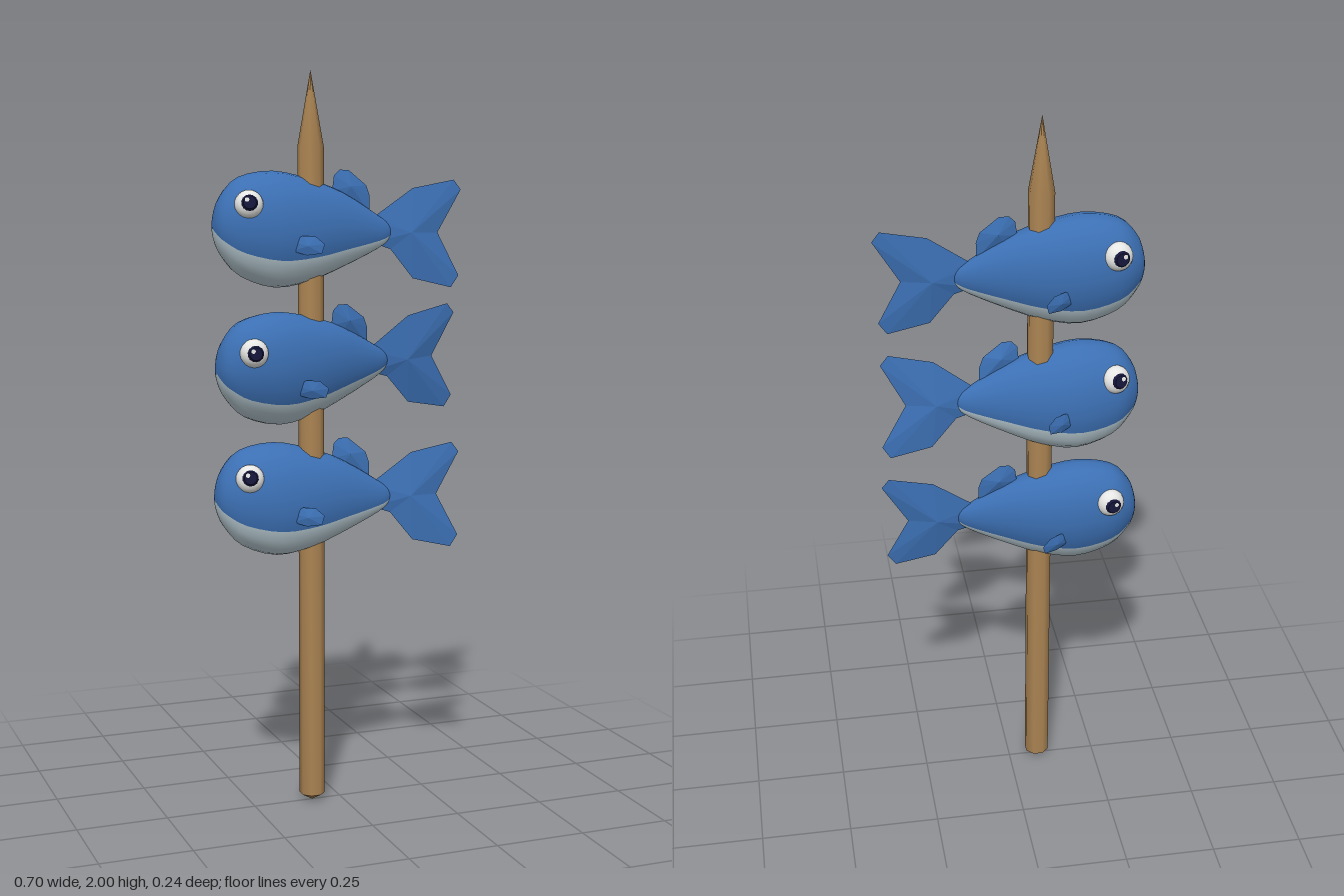
import * as THREE from 'three';
import { toCreasedNormals } from 'three/addons/utils/BufferGeometryUtils.js';

const mat = (name, color, extra = {}) => new THREE.MeshStandardMaterial({ name, color, ...extra });
const blue = mat('blue skin', 0x3c70b4);
const pale = mat('pale belly', 0xb9ccd4);
const white = mat('eye white', 0xe6e6e4);
const dark = mat('pupil navy', 0x15153a);
const wood = mat('wood', 0xaa8352);

function add(parent, name, geometry, material, x = 0, y = 0, z = 0) {
  const mesh = new THREE.Mesh(geometry, material);
  mesh.name = name;
  mesh.position.set(x, y, z);
  parent.add(mesh);
  return mesh;
}

// Body lofted from ellipses: x, top, bottom, half width
function bodyGeometry() {
  const stations = [
    [-0.272, 0.005, 0.005, 0], [-0.266, 0.045, -0.03, 0.03], [-0.248, 0.09, -0.07, 0.054],
    [-0.2, 0.137, -0.122, 0.08], [-0.105, 0.153, -0.154, 0.091], [-0.005, 0.132, -0.138, 0.08],
    [0.09, 0.095, -0.101, 0.056], [0.186, 0.035, -0.056, 0.024], [0.218, 0.01, -0.032, 0.01],
    [0.228, -0.008, -0.012, 0],
  ];
  const curve = (f) => new THREE.CatmullRomCurve3(stations.map(f), false, 'catmullrom');
  const outline = curve((s) => new THREE.Vector3(s[0], s[1], s[2]));
  const widths = curve((s) => new THREE.Vector3(s[3], 0, 0));
  const rings = 27, upper = 14, lower = 8, around = upper + lower;
  const edge = -33; // angle where the belly colour starts
  const positions = [], back = [], belly = [];
  for (let i = 0; i <= rings; i++) {
    const p = outline.getPoint(i / rings);
    const w = Math.max(0, widths.getPoint(i / rings).x);
    for (let j = 0; j < around; j++) {
      const deg = j < upper
        ? edge + (j / upper) * (180 - 2 * edge)
        : 180 - edge + ((j - upper) / lower) * (180 + 2 * edge);
      const a = THREE.MathUtils.degToRad(deg);
      positions.push(p.x, (p.y + p.z) / 2 + Math.sin(a) * (p.y - p.z) / 2, Math.cos(a) * w);
    }
  }
  for (let i = 0; i < rings; i++) {
    for (let j = 0; j < around; j++) {
      const k = (j + 1) % around;
      const a = i * around + j, b = a + around, c = i * around + k, d = c + around;
      (j < upper ? back : belly).push(a, b, c, b, d, c);
    }
  }
  const g = new THREE.BufferGeometry();
  g.setAttribute('position', new THREE.Float32BufferAttribute(positions, 3));
  g.setIndex([...back, ...belly]);
  g.addGroup(0, back.length, 0);
  g.addGroup(back.length, belly.length, 1);
  g.computeVertexNormals();
  return g;
}

// Thin fin: clockwise outline with a raised centre on both sides
function finGeometry(points, [cx, cy], thick) {
  const positions = [];
  points.forEach(([x, y], i) => {
    const [nx, ny] = points[(i + 1) % points.length];
    positions.push(cx, cy, thick, nx, ny, 0, x, y, 0);
    positions.push(cx, cy, -thick, x, y, 0, nx, ny, 0);
  });
  const g = new THREE.BufferGeometry();
  g.setAttribute('position', new THREE.Float32BufferAttribute(positions, 3));
  g.computeVertexNormals();
  return g;
}

const body = bodyGeometry();
const tail = finGeometry([
  [0.17, 0.02], [0.186, 0.035], [0.29, 0.105], [0.41, 0.127], [0.43, 0.1], [0.36, -0.015],
  [0.42, -0.133], [0.397, -0.165], [0.286, -0.138], [0.223, -0.058], [0.17, -0.04],
], [0.28, -0.015], 0.015);
const dorsal = finGeometry([
  [0.06, 0.1], [0.066, 0.14], [0.082, 0.155], [0.108, 0.154], [0.157, 0.113], [0.166, 0.085],
  [0.165, 0.04], [0.08, 0.07],
], [0.11, 0.11], 0.013);
const sideFin = finGeometry([
  [-0.01, 0.012], [0.02, 0.027], [0.055, 0.024], [0.078, 0.004], [0.07, -0.02], [0.03, -0.024],
  [-0.01, -0.012],
], [0.035, 0], 0.007);
const eyeball = new THREE.SphereGeometry(0.038, 16, 12).scale(1, 1, 0.8);
const pupil = new THREE.CylinderGeometry(0.017, 0.022, 0.008, 14).rotateX(Math.PI / 2);
const glint = new THREE.CircleGeometry(0.006, 10);

function makeFish(name) {
  const fish = new THREE.Group();
  fish.name = name;
  add(fish, 'body', body, [blue, pale]);
  add(fish, 'tailFin', tail, blue);
  add(fish, 'dorsalFin', dorsal, blue);
  for (const s of [1, -1]) {
    const side = s > 0 ? 'left' : 'right';
    add(fish, side + 'SideFin', sideFin, blue, -0.07, -0.047, s * 0.08).rotation.y = -0.5 * s;
    // Eye looks outward, slightly forward and up
    const eye = new THREE.Group();
    eye.name = side + 'Eye';
    eye.position.set(-0.19, 0.063, s * 0.068);
    eye.rotation.set(-0.15, s > 0 ? -0.2 : Math.PI + 0.2, 0, 'YXZ');
    add(eye, 'eyeball', eyeball, white);
    add(eye, 'pupil', pupil, dark, 0, 0, 0.028);
    add(eye, 'glint', glint, white, -0.007 * s, 0.007, 0.0328);
    fish.add(eye);
  }
  return fish;
}

export function createModel() {
  const model = new THREE.Group();
  model.name = 'fishSkewer';
  const stickX = -0.082;

  // Pointed eight-sided stick
  const profile = [[0, 0], [0.035, 0.02], [0.035, 1.8], [0, 2]].map((p) => new THREE.Vector2(...p));
  const stick = new THREE.LatheGeometry(profile, 8).rotateY(Math.PI / 8);
  add(model, 'stick', toCreasedNormals(stick, 0.9), wood, stickX, 0, 0);

  // Three fish, each with a small tilt: height, roll, yaw, pitch
  [
    ['topFish', 1.585, -0.055, -0.04, 0],
    ['middleFish', 1.222, 0.09, 0.055, 0.06],
    ['bottomFish', 0.861, -0.09, -0.055, 0],
  ].forEach(([name, y, roll, yaw, pitch]) => {
    const fish = makeFish(name);
    fish.position.set(stickX + 0.002, y, 0);
    fish.rotation.set(roll, yaw, pitch);
    model.add(fish);
  });
  return model;
}
